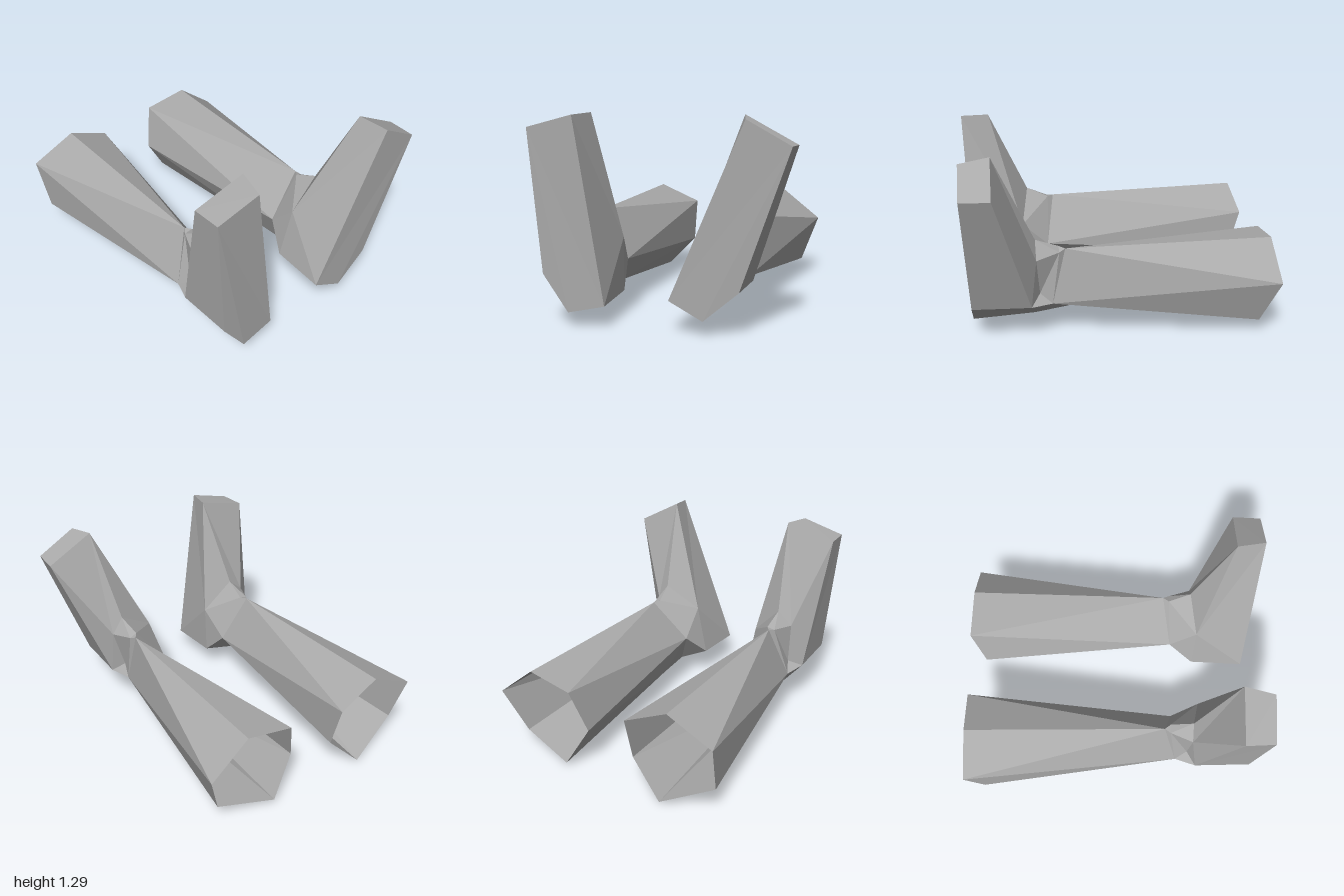
import * as THREE from 'three';

// Corner points of one leg, x pointing outward from the body's middle
const P = {
  // open rear end of the leg
  ot: [0.85, 0.51, -0.99], t: [0.54, 0.65, -0.985], it: [0.25, 0.52, -1.0],
  ib: [0.25, 0.22, -0.92], b: [0.47, 0.0, -0.967], ob: [0.82, 0.18, -0.89],
  // narrow front end of the leg
  legTop: [0.515, 0.64, 0.37], legIn: [0.335, 0.32, 0.43],
  legLow: [0.47, 0.12, 0.25], legOut: [0.64, 0.288, 0.46],
  // ankle
  q1: [0.54, 0.63, 0.41], q2: [0.485, 0.64, 0.41], notch: [0.6, 0.35, 0.54],
  a1: [0.60, 0.62, 0.56], a2: [0.495, 0.71, 0.56], a3: [0.295, 0.5, 0.61],
  heelIn: [0.30, 0.15, 0.6], heel: [0.52, 0.11, 0.57], heelOut: [0.69, 0.31, 0.6],
  // toe and sole
  b1: [0.765, 1.205, 0.815], b2: [0.42, 1.29, 0.81],
  t1: [0.755, 1.205, 1.0], t2: [0.465, 1.28, 1.0],
  s1: [0.68, 0.32, 0.98], s2: [0.52, 0.09, 0.98], s3: [0.29, 0.14, 0.97],
};

// Faces of each part, corners counter-clockwise from outside
const parts = {
  leg: ['ot t legTop', 't it legTop', 'it ib legIn legTop', 'ib b legLow legIn',
    'b ob legOut legLow', 'ot legTop legOut ob'],
  ankle: ['legTop q2 q1', 'q1 q2 a2 a1', 'legTop legIn q2', 'q2 legIn a3 a2',
    'legIn legLow heel heelIn', 'legIn heelIn a3', 'legOut legTop q1', 'legOut q1 notch',
    'notch q1 a1', 'notch a1 heelOut', 'legOut notch heelOut', 'legLow legOut heelOut heel'],
  boot: ['a1 a2 b2 b1', 'a2 a3 b2', 'a3 t2 b2', 'a3 heelIn s3 t2', 'heelIn heel s2 s3',
    'heel heelOut s1 s2', 'heelOut a1 b1', 'heelOut b1 t1 s1', 'b1 b2 t2 t1'],
  sole: ['t1 t2 s3 s2 s1'],
};

// Fans each face into triangles; side -1 mirrors and reverses the corners
function facesGeometry(faces, side) {
  const pos = [];
  for (const face of faces) {
    const c = face.split(' ').map((n) => P[n]);
    for (let i = 1; i < c.length - 1; i++) {
      const tri = side > 0 ? [c[0], c[i], c[i + 1]] : [c[0], c[i + 1], c[i]];
      for (const [x, y, z] of tri) pos.push(x * side, y, z);
    }
  }
  const g = new THREE.BufferGeometry();
  g.setAttribute('position', new THREE.Float32BufferAttribute(pos, 3));
  g.computeVertexNormals();
  return g;
}

export function createModel() {
  const grey = new THREE.MeshStandardMaterial({ color: 0xaaaaaa, flatShading: true, side: THREE.DoubleSide });
  grey.name = 'grey';

  const makeLeg = (name, side) => {
    const group = new THREE.Group();
    group.name = name;
    for (const [part, faces] of Object.entries(parts)) {
      const mesh = new THREE.Mesh(facesGeometry(faces, side), grey);
      mesh.name = part;
      group.add(mesh);
    }
    return group;
  };

  const model = new THREE.Group();
  model.name = 'legs';
  const right = makeLeg('rightLeg', -1);
  // the left leg is rolled outward
  const left = makeLeg('leftLeg', 1);
  left.rotation.z = THREE.MathUtils.degToRad(-14.6);
  left.position.set(-0.206, 0.142, 0);
  model.add(right, left);
  return model;
}
